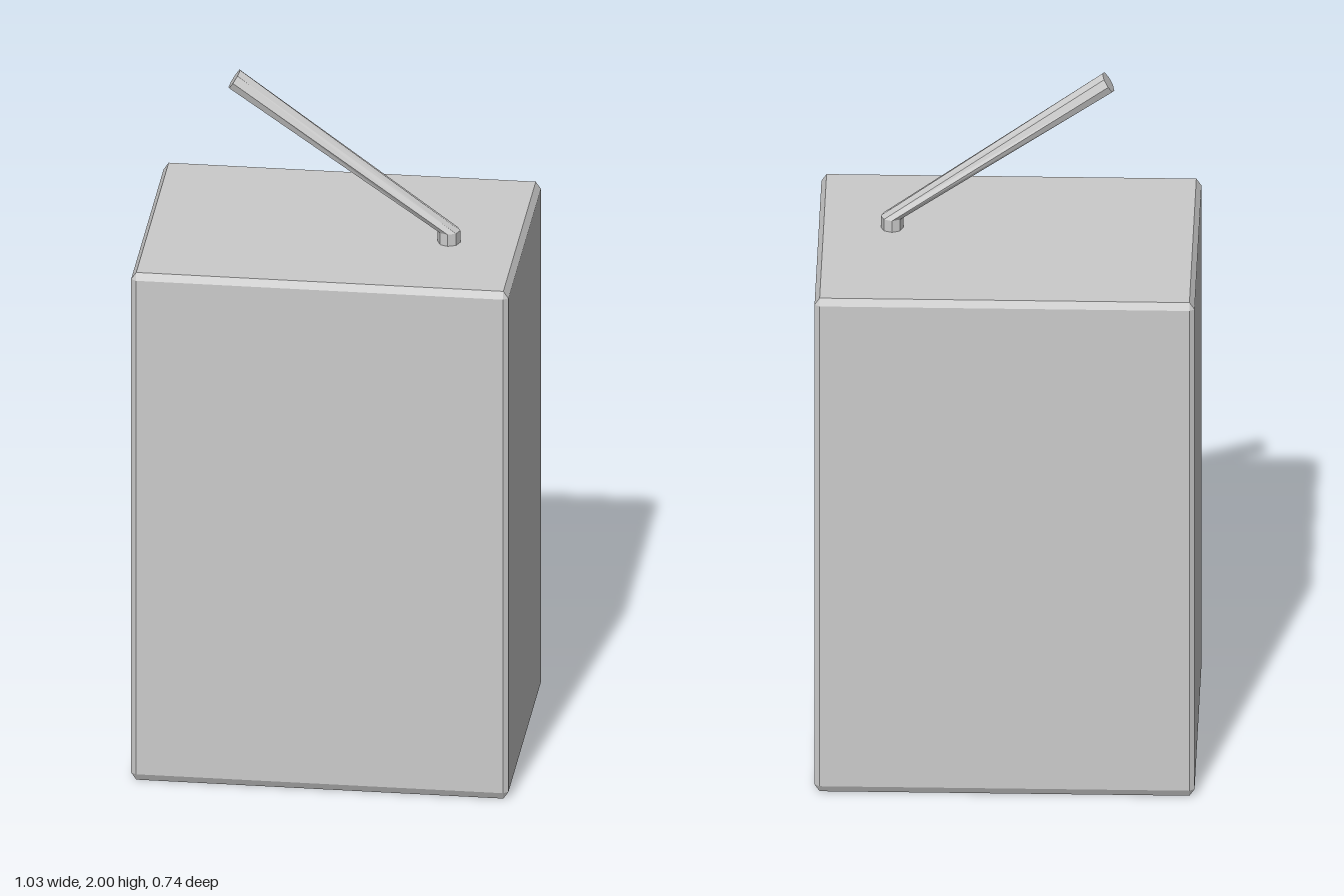
import * as THREE from 'three';
import { ConvexGeometry } from 'three/addons/geometries/ConvexGeometry.js';

const material = new THREE.MeshStandardMaterial({ color: 0xcccccc, flatShading: true });

// Box with chamfered edges; the chamfer is a fixed fraction of each side
function chamferedBox(w, h, d, fraction) {
  const inner = 1 - 2 * fraction;
  const points = [];
  for (const sx of [-1, 1]) for (const sy of [-1, 1]) for (const sz of [-1, 1]) {
    for (const outer of [0, 1, 2]) {
      const k = [inner, inner, inner];
      k[outer] = 1;
      points.push(new THREE.Vector3(sx * k[0] * w / 2, sy * k[1] * h / 2, sz * k[2] * d / 2));
    }
  }
  return new ConvexGeometry(points);
}

// Bent tube: a cylinder whose rings are moved to the given centres and tilted about z
function bentTube(radius, sides, z, rings) {
  const geometry = new THREE.CylinderGeometry(1, 1, rings.length - 1, sides, rings.length - 1);
  const p = geometry.attributes.position;
  for (let i = 0; i < p.count; i++) {
    const ring = rings[Math.round(p.getY(i) + (rings.length - 1) / 2)];
    const across = p.getX(i) * radius;
    p.setXYZ(i,
      ring.x + across * Math.cos(ring.tilt),
      ring.y + across * Math.sin(ring.tilt),
      z + p.getZ(i) * radius);
  }
  geometry.computeVertexNormals();
  return geometry;
}

export function createModel() {
  const model = new THREE.Group();
  model.name = 'drinkCarton';

  // Carton body
  const carton = new THREE.Mesh(chamferedBox(1.035, 1.52, 0.74, 0.0135), material);
  carton.name = 'carton';
  carton.position.y = 0.76;
  model.add(carton);

  // Straw: short upright stub, then a long slanted length
  const straw = new THREE.Mesh(bentTube(0.031, 8, 0.057, [
    { x: 0.317, y: 1.5, tilt: 0 },
    { x: 0.317, y: 1.555, tilt: 0 },
    { x: -0.272, y: 1.975, tilt: 1.02 },
  ]), material);
  straw.name = 'straw';
  model.add(straw);

  return model;
}
